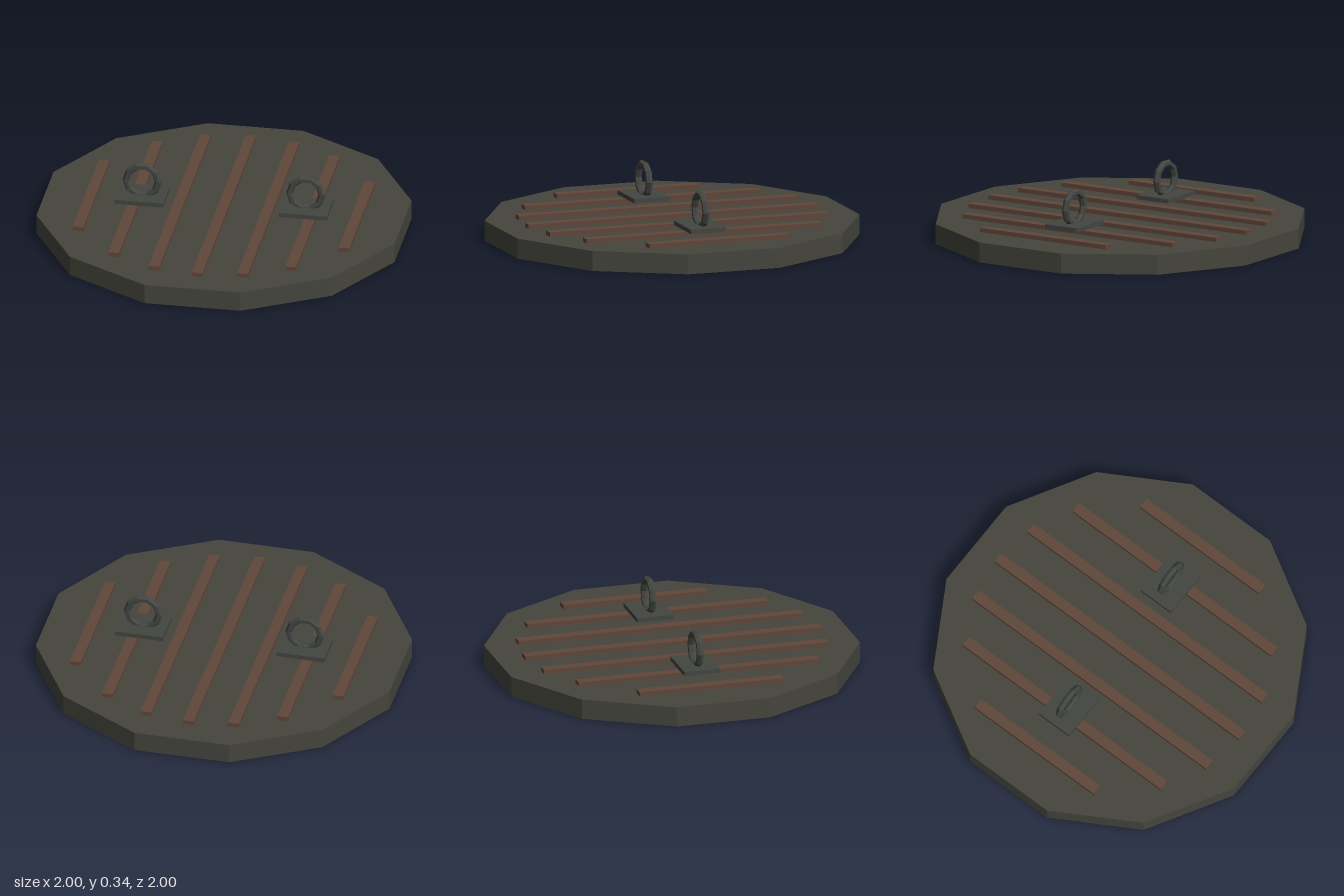
import * as THREE from 'three';

export function createModel() {
  const model = new THREE.Group();
  model.name = 'roundHatch';

  const mat = (name, color) => {
    const m = new THREE.MeshStandardMaterial({ color, flatShading: true });
    m.name = name;
    return m;
  };
  const lidMat = mat('darkStone', 0x45453d);
  const rustMat = mat('rustBrown', 0x604639);
  const ironMat = mat('darkIron', 0x424540);

  const add = (parent, name, geometry, material, x, y, z = 0) => {
    const mesh = new THREE.Mesh(geometry, material);
    mesh.name = name;
    mesh.position.set(x, y, z);
    parent.add(mesh);
    return mesh;
  };

  // Twelve-sided lid with flat sides facing the axes
  const lidHeight = 0.112;
  const lidRadius = 1 / Math.cos(Math.PI / 12);
  const lid = new THREE.CylinderGeometry(lidRadius, lidRadius, lidHeight, 12).rotateY(Math.PI / 12);
  add(model, 'lid', lid, lidMat, 0, lidHeight / 2);

  // Raised battens, shorter towards the rim
  const battenLengths = [1.7, 1.63, 1.38, 0.826];
  for (let i = -3; i <= 3; i++) {
    const length = battenLengths[Math.abs(i)];
    add(model, 'batten', new THREE.BoxGeometry(0.06, 0.026, length), rustMat, i * 0.2475, 0.123);
  }

  // Two lifting rings on mounting plates
  for (const side of [-1, 1]) {
    const handle = new THREE.Group();
    handle.name = side > 0 ? 'leftHandle' : 'rightHandle';
    handle.position.x = side * 0.457;
    add(handle, 'mountingPlate', new THREE.BoxGeometry(0.27, 0.024, 0.208), ironMat, 0, 0.149);
    add(handle, 'liftingRing', new THREE.TorusGeometry(0.09, 0.0195, 6, 10), ironMat, 0, 0.24);
    model.add(handle);
  }

  return model;
}
